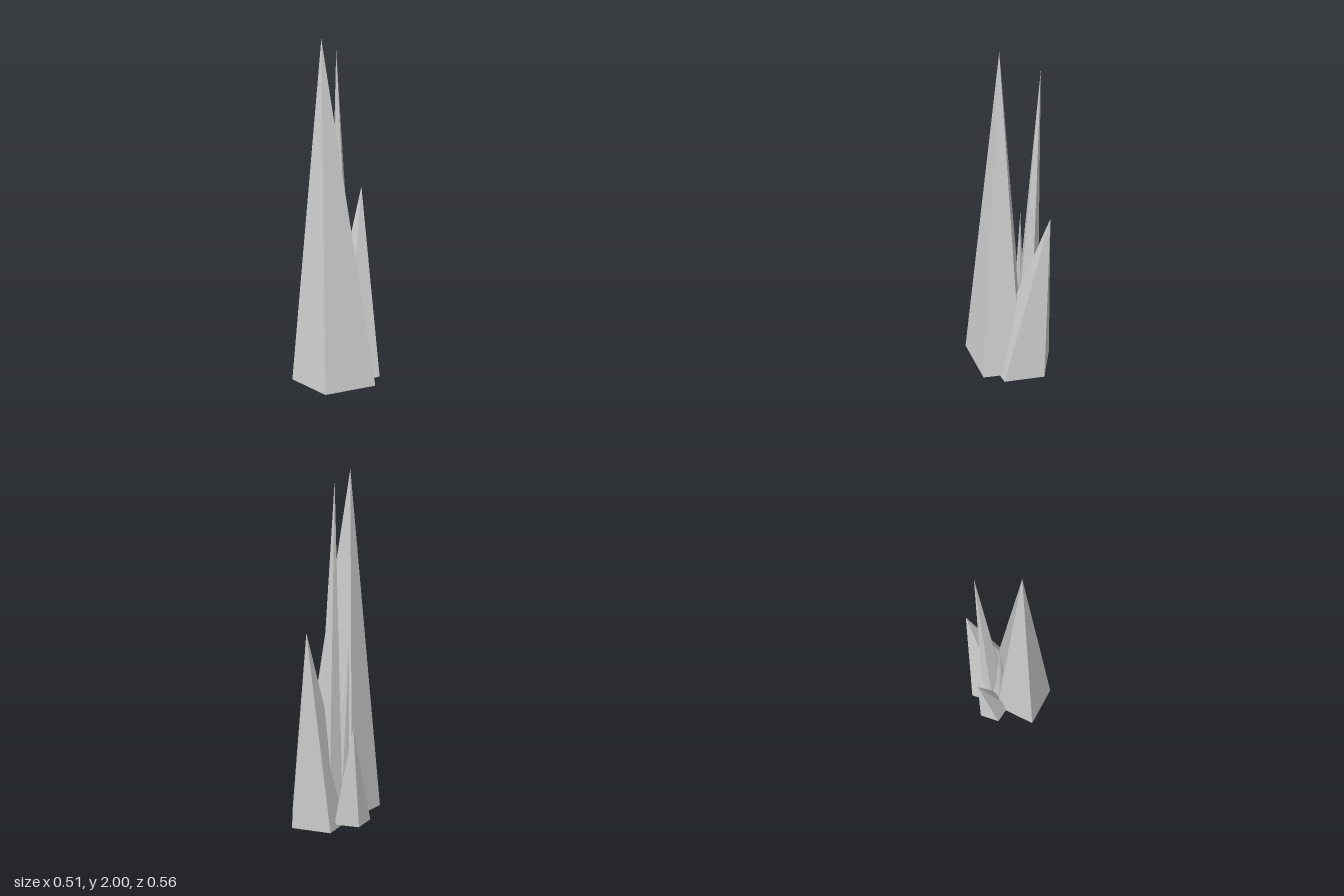
import * as THREE from 'three';

// Each crystal: off-centre tip [x, y, z], base height, and irregular five-sided base [x, z]
// listed left, front, right, back.
const SHARDS = [
  { name: 'mainCrystal', tip: [-0.08, 2, 0.06], y: 0.015,
    base: [[-0.237, 0.18], [0.012, 0.277], [0.254, 0.083], [0.159, -0.135], [-0.15, -0.073]] },
  { name: 'backCrystal', tip: [0.047, 1.13, -0.26], y: 0,
    base: [[-0.13, -0.03], [0.078, 0.11], [0.242, -0.05], [0.136, -0.28], [-0.092, -0.26]] },
  { name: 'tallThinCrystal', tip: [-0.075, 1.93, -0.157], y: 0.02,
    base: [[-0.11, -0.115], [-0.042, -0.028], [0.058, -0.065], [0.05, -0.167], [-0.057, -0.191]] },
  { name: 'sideCrystal', tip: [-0.195, 0.6, -0.18], y: 0.025,
    base: [[-0.256, -0.053], [-0.145, 0.003], [-0.05, -0.08], [-0.09, -0.197], [-0.232, -0.178]] },
  { name: 'smallSpike', tip: [-0.118, 1.03, -0.05], y: 0.02,
    base: [[-0.125, -0.06], [-0.09, -0.01], [-0.01, -0.02], [-0.04, -0.078], [-0.094, -0.104]] },
];

// Closed skewed pyramid with one flat side per base edge
function shardGeometry({ tip, y, base }) {
  const n = base.length;
  const cx = base.reduce((s, p) => s + p[0], 0) / n;
  const cz = base.reduce((s, p) => s + p[1], 0) / n;
  const pos = [];
  base.forEach(([ax, az], i) => {
    const [bx, bz] = base[(i + 1) % n];
    pos.push(ax, y, az, bx, y, bz, ...tip); // side
    pos.push(cx, y, cz, bx, y, bz, ax, y, az); // underside
  });
  const geo = new THREE.BufferGeometry();
  geo.setAttribute('position', new THREE.Float32BufferAttribute(pos, 3));
  geo.computeVertexNormals();
  return geo;
}

export function createModel() {
  const group = new THREE.Group();
  group.name = 'crystalCluster';
  const material = new THREE.MeshStandardMaterial({ color: 0xcccccc, flatShading: true });
  for (const shard of SHARDS) {
    const mesh = new THREE.Mesh(shardGeometry(shard), material);
    mesh.name = shard.name;
    group.add(mesh);
  }
  return group;
}
